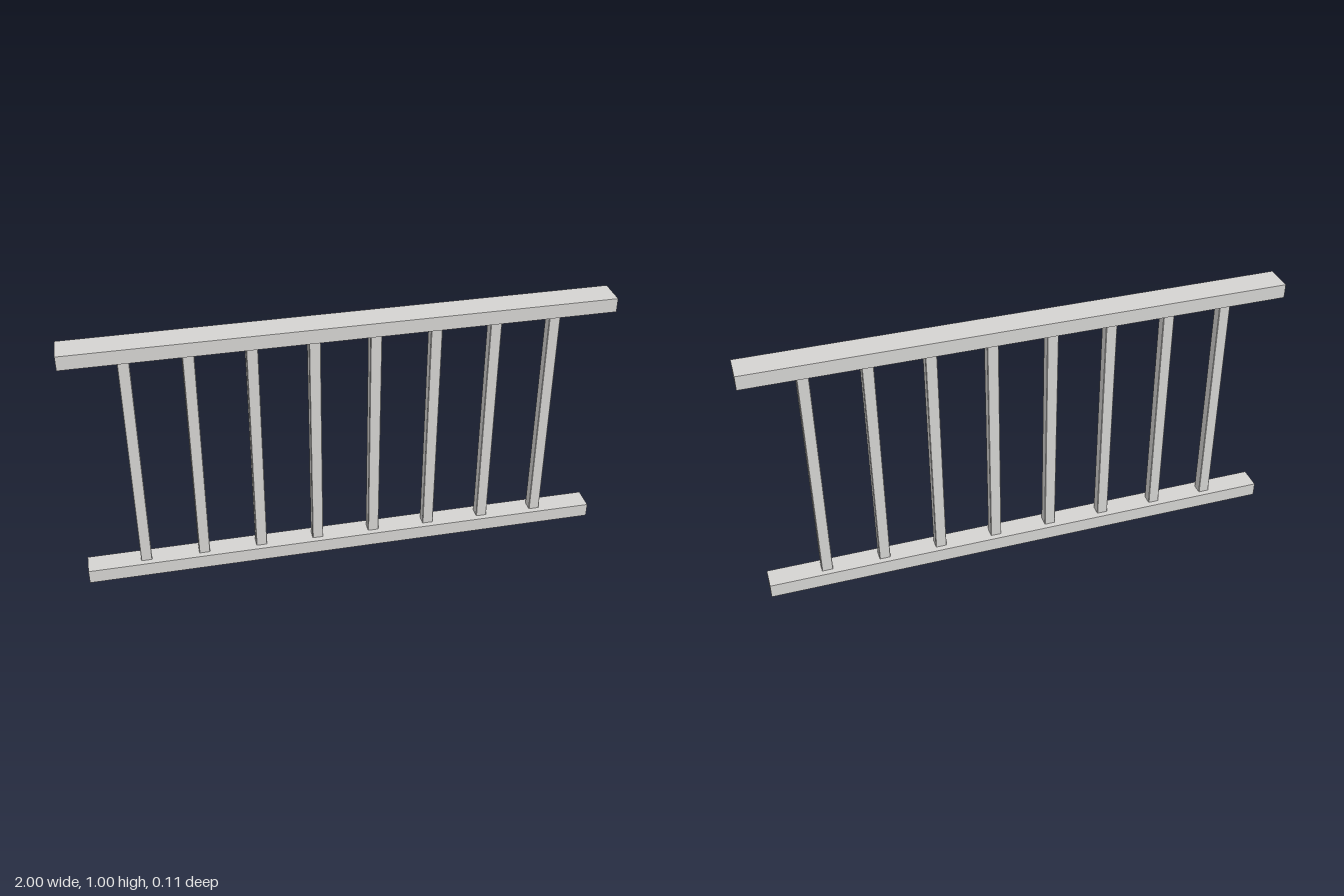
import * as THREE from 'three';

export function createModel() {
  const group = new THREE.Group();
  const gray = new THREE.MeshStandardMaterial({ color: 0xd5d4d2 });
  gray.name = 'light gray';

  const add = (name, geometry, x, y, z) => {
    const mesh = new THREE.Mesh(geometry, gray);
    mesh.name = name;
    mesh.position.set(x, y, z);
    group.add(mesh);
  };

  // Rails: the handrail is a little deeper than the bottom rail
  const bottomTop = 0.055, handrailBottom = 0.946;
  add('bottomRail', new THREE.BoxGeometry(2, bottomTop, 0.087), 0, bottomTop / 2, 0);
  add('handrail', new THREE.BoxGeometry(2, 1 - handrailBottom, 0.108), 0, (1 + handrailBottom) / 2, 0);

  // Square balusters with finely eased long edges
  const h = 0.021, c = 0.002;
  const section = new THREE.Shape([
    [h, -h + c], [h, h - c], [h - c, h], [-h + c, h],
    [-h, h - c], [-h, -h + c], [-h + c, -h], [h - c, -h],
  ].map(([x, y]) => new THREE.Vector2(x, y)));
  const baluster = new THREE.ExtrudeGeometry(section, {
    depth: handrailBottom - bottomTop, bevelEnabled: false,
  }).rotateX(-Math.PI / 2);

  const count = 8, spacing = 0.2225;
  for (let i = 0; i < count; i++) {
    add(`baluster${i + 1}`, baluster, (i - (count - 1) / 2) * spacing, bottomTop, 0);
  }
  return group;
}
